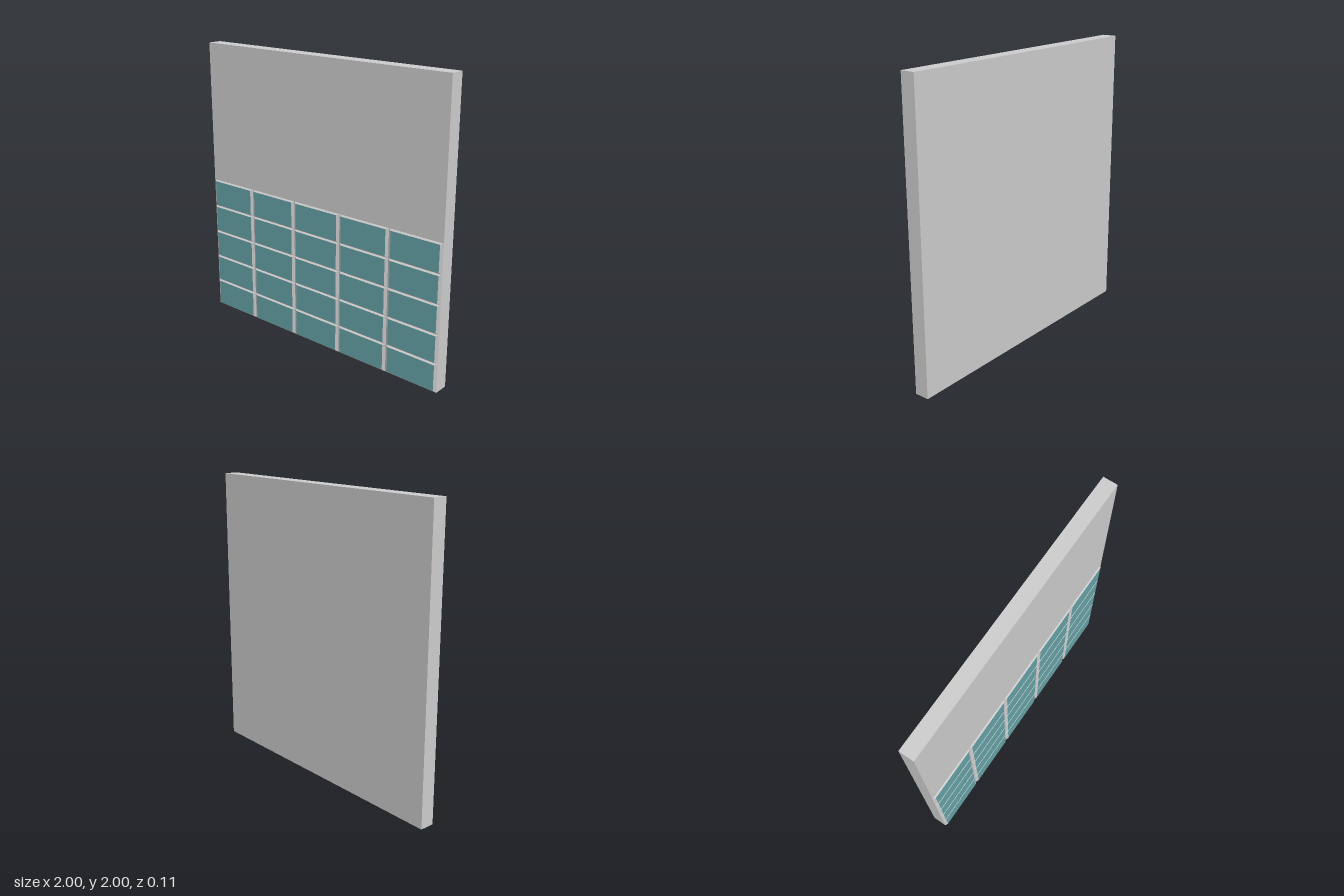
import * as THREE from 'three';

export function createModel() {
  const model = new THREE.Group();
  const grey = new THREE.MeshStandardMaterial({ color: 0xcccccc, flatShading: true });
  const teal = new THREE.MeshStandardMaterial({ color: 0x64a0a5 });

  const tileW = 0.4, tileH = 0.2, tileDepth = 0.01, faceScale = 0.9;
  const wallFront = 0.045;

  // Plain wall slab
  const wall = new THREE.Mesh(new THREE.BoxGeometry(2, 2, 0.1), grey);
  wall.name = 'wall';
  wall.position.set(0, 1, wallFront - 0.05);
  model.add(wall);

  // Sloping tile edge: an open four-sided frustum pointing forwards
  const r = Math.SQRT1_2;
  const bevel = new THREE.CylinderGeometry(r * faceScale, r, tileDepth, 4, 1, true, Math.PI / 4)
    .rotateX(Math.PI / 2)
    .scale(tileW, tileH, 1)
    .translate(0, 0, tileDepth / 2);

  // Flat glazed tile face
  const face = new THREE.PlaneGeometry(tileW * faceScale, tileH * faceScale)
    .translate(0, 0, tileDepth);

  // Five by five tiles over the lower half
  for (let row = 0; row < 5; row++) {
    for (let col = 0; col < 5; col++) {
      const tile = new THREE.Group();
      tile.name = 'tile';
      const edge = new THREE.Mesh(bevel, grey);
      edge.name = 'tileBevel';
      const front = new THREE.Mesh(face, teal);
      front.name = 'tileFace';
      tile.add(edge, front);
      tile.position.set((col - 2) * tileW, (row + 0.5) * tileH, wallFront);
      model.add(tile);
    }
  }
  return model;
}
